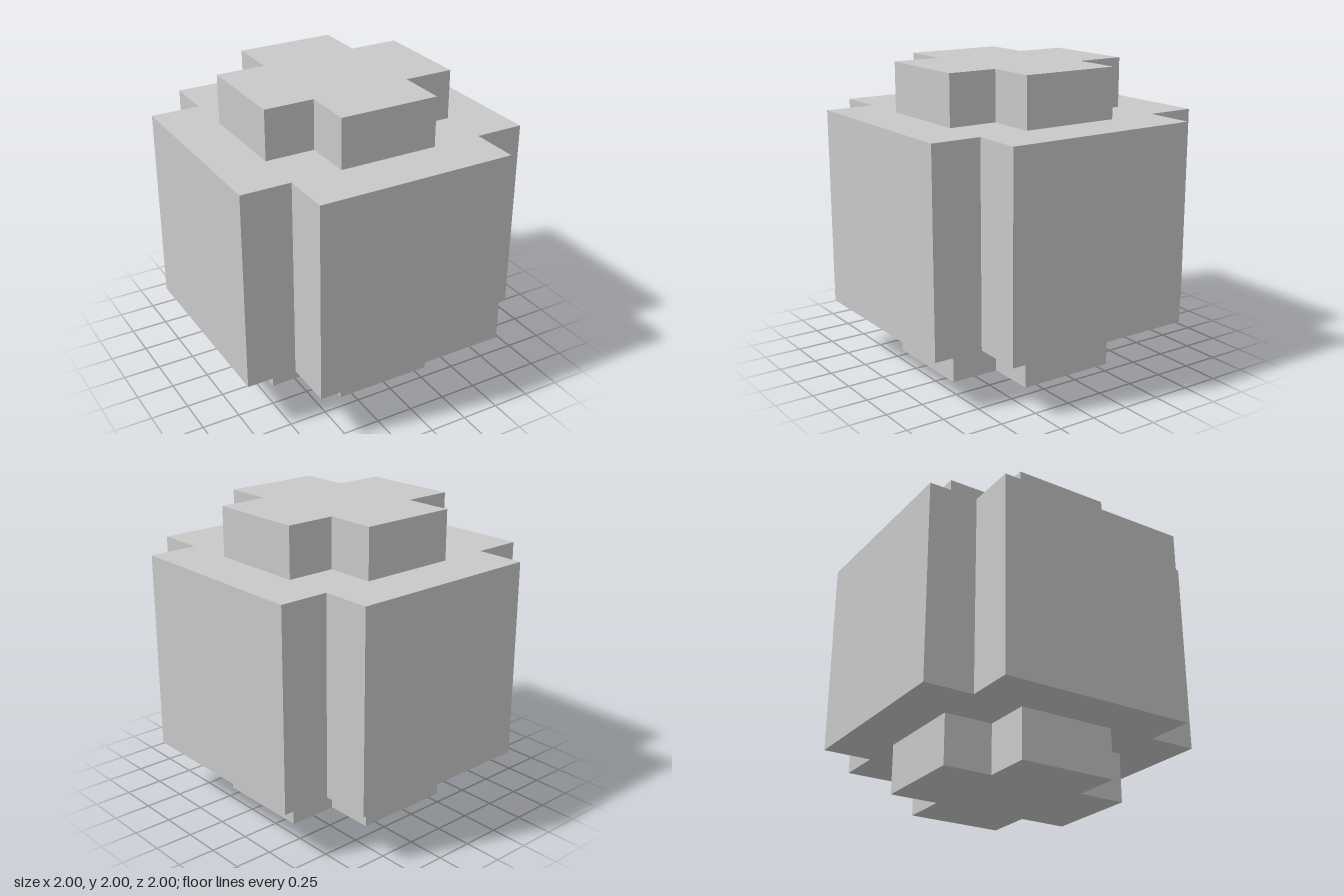
import * as THREE from 'three';

// Plus-shaped prism: arms reach `reach` from the centre and are 2 * half wide
function plusPrism(name, reach, half, y0, y1, material) {
  const r = reach, h = half;
  const outline = [
    [r, -h], [r, h], [h, h], [h, r], [-h, r], [-h, h],
    [-r, h], [-r, -h], [-h, -h], [-h, -r], [h, -r], [h, -h],
  ].map(([x, y]) => new THREE.Vector2(x, y));
  const geometry = new THREE.ExtrudeGeometry(new THREE.Shape(outline), {
    depth: y1 - y0,
    bevelEnabled: false,
  });
  geometry.rotateX(-Math.PI / 2);
  geometry.translate(0, y0, 0);
  const mesh = new THREE.Mesh(geometry, material);
  mesh.name = name;
  return mesh;
}

export function createModel() {
  const stone = new THREE.MeshStandardMaterial({ color: 0xc9c9c9 });
  stone.name = 'light grey';

  const group = new THREE.Group();
  group.name = 'steppedBlock';
  const t = 1 / 3;

  // Wide middle block with notched corners, and a smaller cross above and below
  group.add(
    plusPrism('bottomCross', 2 * t, t, 0, t, stone),
    plusPrism('body', 1, 2 * t, t, 5 * t, stone),
    plusPrism('topCross', 2 * t, t, 5 * t, 2, stone),
  );
  return group;
}
